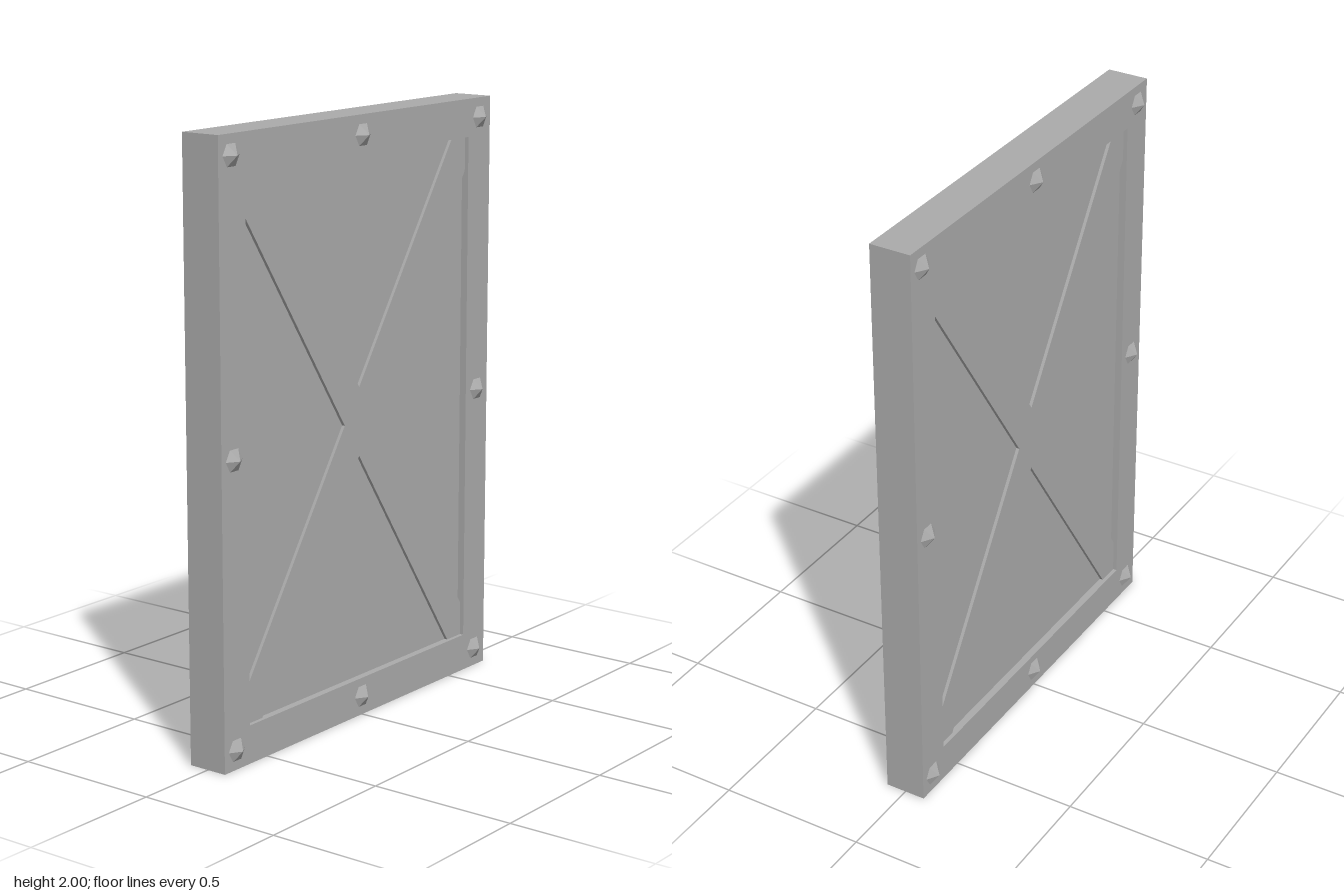
import * as THREE from 'three';

const W = 0.71, H = 1, D = 0.07;         // half size of the whole panel
const IW = 0.585, IH = 0.8725;           // half size of the opening
const metal = new THREE.MeshStandardMaterial({ color: 0xaaaaaa });
metal.name = 'grey metal';

function polygon(points, Type = THREE.Shape) {
  return new Type(points.map(([x, y]) => new THREE.Vector2(x, y)));
}
const rect = (w, h) => [[-w, -h], [w, -h], [w, h], [-w, h]];

// Plate extruded symmetrically about z = 0
function plate(name, shape, halfDepth) {
  const geo = new THREE.ExtrudeGeometry(shape, { depth: halfDepth * 2, bevelEnabled: false });
  geo.translate(0, 0, -halfDepth);
  const mesh = new THREE.Mesh(geo, metal);
  mesh.name = name;
  return mesh;
}

export function createModel() {
  const model = new THREE.Group();
  model.name = 'bracedPanel';
  const body = new THREE.Group();
  body.name = 'body';
  body.position.y = H;
  model.add(body);

  // Outer frame with a rectangular opening
  const frame = polygon(rect(W, H));
  frame.holes.push(polygon(rect(IW, IH).reverse(), THREE.Path));
  body.add(plate('frame', frame, D));

  // Recessed sheet
  body.add(plate('sheet', polygon(rect(IW, IH)), 0.045));

  // X brace, one outline with its ends cut along the opening
  const rise = 0.115, run = rise * IW / IH;
  const arm = [[run, 0], [IW, IH - rise], [IW, IH], [IW - run, IH]];
  const mirrored = (sx, sy) => arm.map(([x, y]) => [x * sx, y * sy]);
  const tip = (s) => [[0, rise * s]];
  const outline = [
    ...mirrored(1, 1), ...tip(1),
    ...mirrored(-1, 1).reverse().slice(0, 3), [-run, 0],
    ...mirrored(-1, -1).slice(1), ...tip(-1),
    ...mirrored(1, -1).reverse().slice(0, 3),
  ];
  body.add(plate('crossBrace', polygon(outline), 0.056));

  // Six-sided pointed rivets around the frame, on both faces
  const rivetGeo = new THREE.ConeGeometry(0.04, 0.025, 6, 1, true).toNonIndexed();
  rivetGeo.rotateY(Math.PI / 6).rotateX(Math.PI / 2).translate(0, 0, D + 0.0125);
  rivetGeo.computeVertexNormals();
  for (const side of [0, Math.PI]) {
    const rivets = new THREE.Group();
    rivets.name = side ? 'backRivets' : 'frontRivets';
    rivets.rotation.y = side;
    for (const x of [-0.65, 0, 0.65]) {
      for (const y of [-0.935, 0, 0.935]) {
        if (x === 0 && y === 0) continue;
        const rivet = new THREE.Mesh(rivetGeo, metal);
        rivet.name = 'rivet';
        rivet.position.set(x, y, 0);
        rivets.add(rivet);
      }
    }
    body.add(rivets);
  }
  return model;
}
